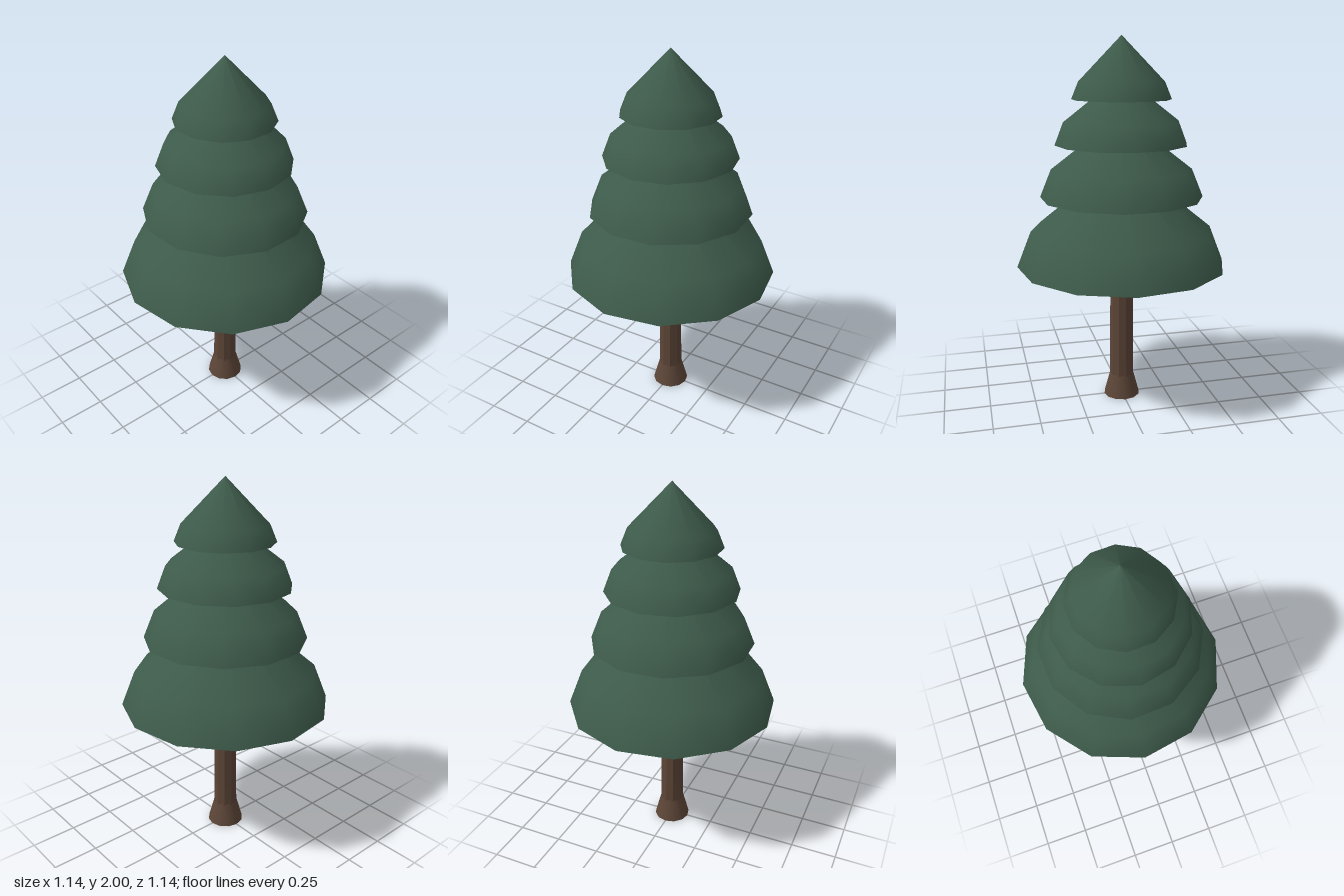
import * as THREE from 'three';

const SIDES = 12;

// Faceted solid of revolution; profile is [radius, height] from bottom to top
function turned(profile, sides, startDegrees) {
  const points = profile.map(([r, y]) => new THREE.Vector2(r, y));
  return new THREE.LatheGeometry(points, sides, THREE.MathUtils.degToRad(startDegrees));
}

export function createModel() {
  const model = new THREE.Group();
  model.name = 'pineTree';

  const needles = new THREE.MeshStandardMaterial({ color: 0x3d5a4a, side: THREE.DoubleSide });
  needles.name = 'needleGreen';
  const bark = new THREE.MeshStandardMaterial({ color: 0x5c4537, side: THREE.DoubleSide });
  bark.name = 'barkBrown';

  const add = (name, geometry, material) => {
    const mesh = new THREE.Mesh(geometry, material);
    mesh.name = name;
    model.add(mesh);
  };

  // Flared foot, open underneath
  add('trunkFoot', turned([[0.101, 0], [0.066, 0.13]], SIDES, 0), bark);

  // Slightly tapering faceted trunk, reaching up inside the second tier
  const shaft = turned([[0.068, 0.12], [0.066, 0.25], [0.062, 0.78], [0.058, 1.43]], 10, 10).toNonIndexed();
  shaft.computeVertexNormals();
  add('trunk', shaft, bark);

  // Hollow branch tiers: rim, shoulder and peak, each turned a little differently
  const tiers = [
    { rim: [0.572, 0.78], shoulder: [0.495, 0.975], peak: 1.375, turn: 24.5 },
    { rim: [0.44, 1.155], shoulder: [0.379, 1.305], peak: 1.6, turn: 18 },
    { rim: [0.357, 1.44], shoulder: [0.31, 1.56], peak: 1.8, turn: 27 },
    { rim: [0.264, 1.675], shoulder: [0.227, 1.765], peak: 2, turn: 17 },
  ];
  tiers.forEach(({ rim, shoulder, peak, turn }, i) => {
    add(`branchTier${i + 1}`, turned([rim, shoulder, [0, peak]], SIDES, turn), needles);
  });

  // Flat underside closing the lowest tier
  const { rim, turn } = tiers[0];
  add('lowestTierUnderside', turned([[0, rim[1]], rim], SIDES, turn), needles);

  return model;
}
